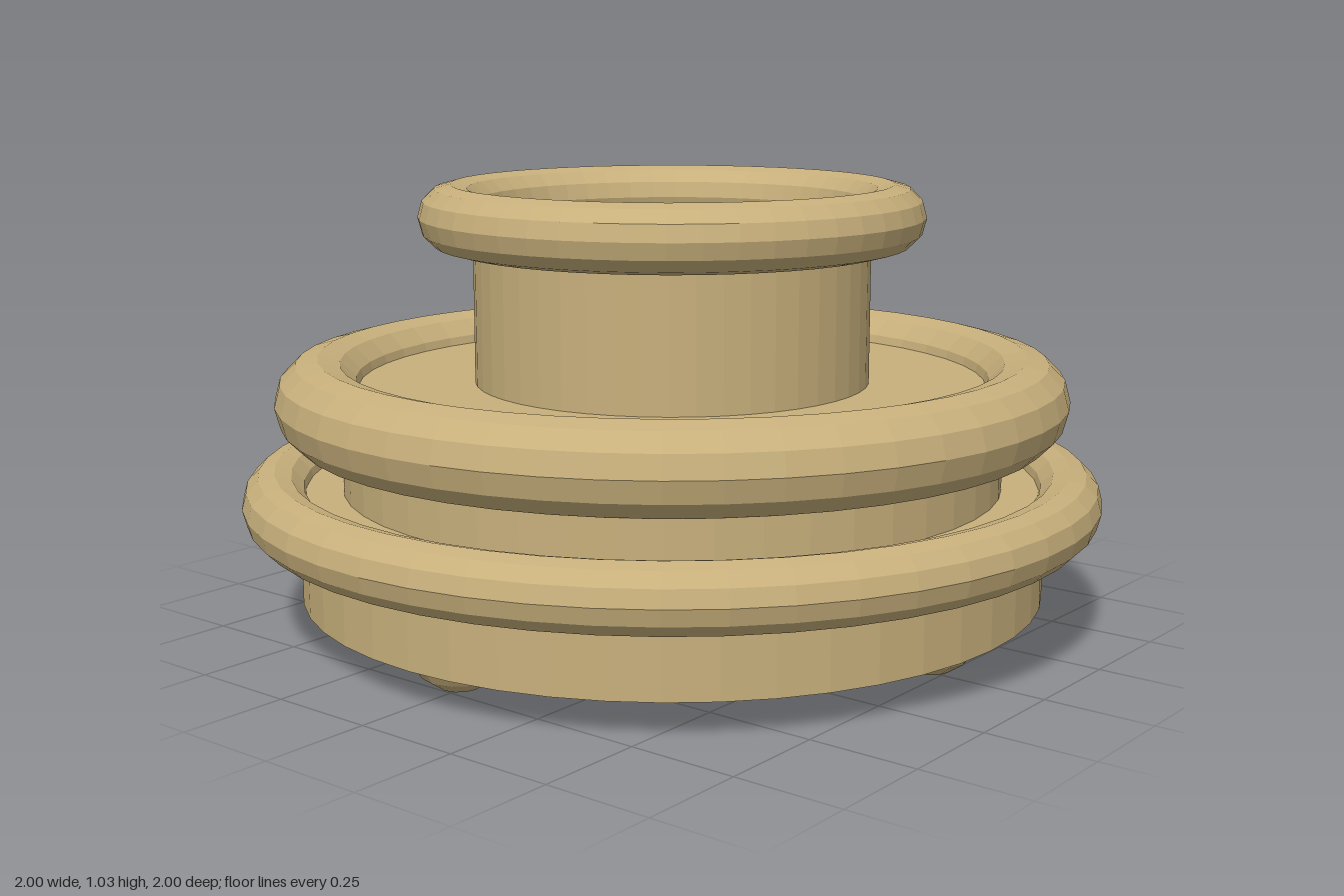
import * as THREE from 'three';

const SIDES = 48;

export function createModel() {
  const group = new THREE.Group();
  const material = new THREE.MeshStandardMaterial({ color: 0xc8b07c, flatShading: true });

  const add = (name, geometry, x, y, z) => {
    const mesh = new THREE.Mesh(geometry, material);
    mesh.name = name;
    mesh.position.set(x, y, z);
    group.add(mesh);
    return mesh;
  };

  // Solid drum between two heights
  const drum = (name, radius, y0, y1) =>
    add(name, new THREE.CylinderGeometry(radius, radius, y1 - y0, SIDES), 0, (y0 + y1) / 2, 0);

  // Horizontal rounded ring
  const ring = (name, radius, tube, y) =>
    add(name, new THREE.TorusGeometry(radius, tube, 12, SIDES).rotateX(-Math.PI / 2), 0, y, 0);

  // Stepped body
  drum('base', 0.87, 0.08, 0.33);
  drum('waist', 0.77, 0.33, 0.57);
  drum('neck', 0.46, 0.57, 0.91);

  // Rolled rims
  ring('lowerRim', 0.925, 0.075, 0.31);
  ring('upperRim', 0.82, 0.1, 0.54);
  ring('topRim', 0.51, 0.075, 0.955);

  // Four round feet, half sunk into the base
  for (let i = 0; i < 4; i++) {
    const a = (i * Math.PI) / 2;
    add('foot', new THREE.SphereGeometry(0.116, 12, 8), 0.72 * Math.cos(a), 0.116, 0.72 * Math.sin(a));
  }

  return group;
}
